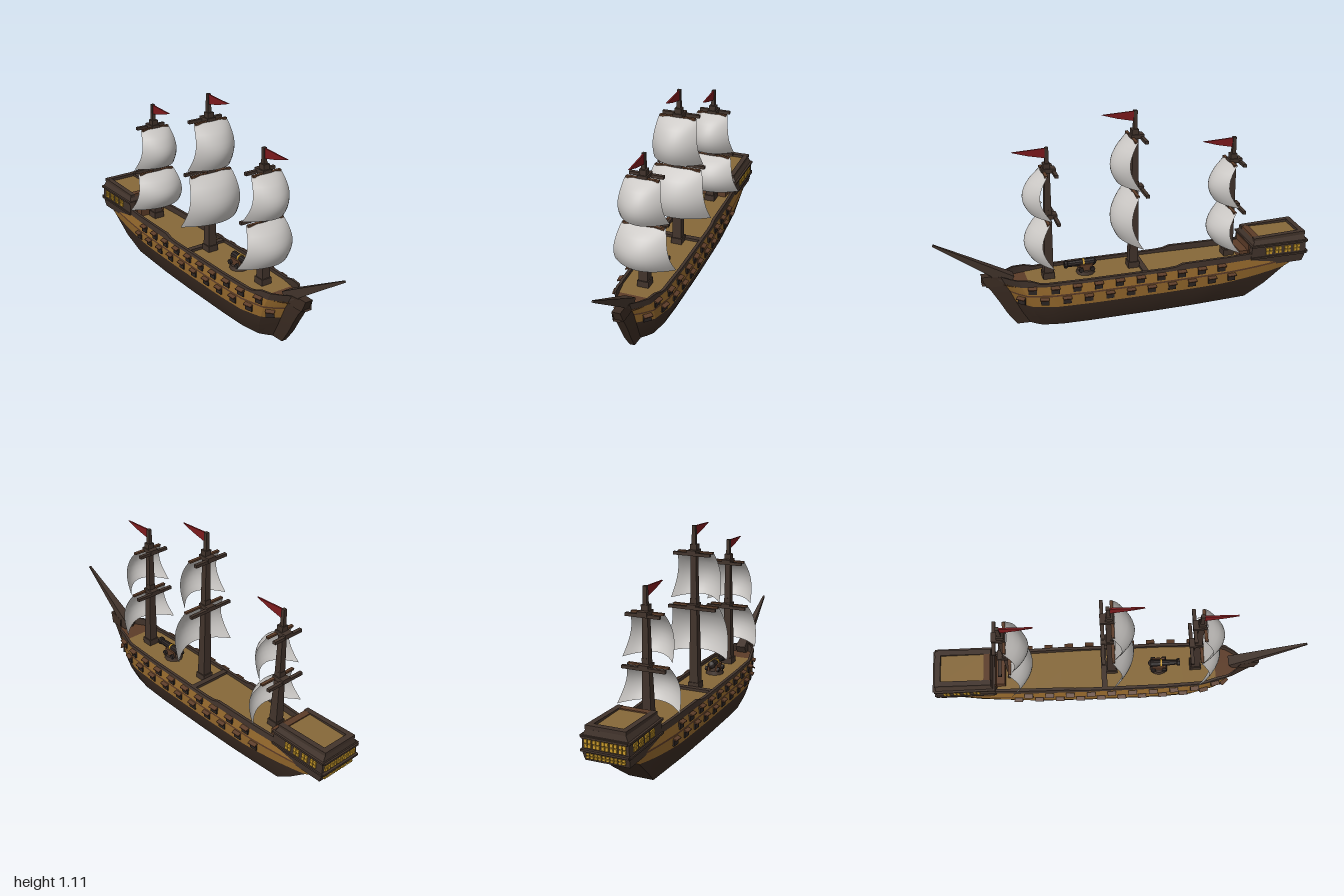
import * as THREE from 'three';
import { toCreasedNormals } from 'three/addons/utils/BufferGeometryUtils.js';

const mat = (name, color, side = THREE.FrontSide) => {
  const m = new THREE.MeshStandardMaterial({ color, side });
  m.name = name;
  return m;
};
const { lerp } = THREE.MathUtils;

// Piecewise linear lookup through [x, y] pairs
function table(points, x) {
  for (let i = 1; i < points.length; i++) {
    const [a, p] = points[i - 1], [b, q] = points[i];
    if (x <= b) return lerp(p, q, Math.max(0, (x - a) / (b - a)));
  }
  return points[points.length - 1][1];
}
const PLAN = [[0, .76], [.1, .84], [.25, .95], [.45, 1], [.7, 1], [.82, .94], [.9, .72], [.925, .46], [.945, .2], [1, .16]];
const RAIL = [[-.6, .28], [-.27, .28], [-.23, .264], [.48, .264], [.54, .285], [.77, .295]];
const plan = u => table(PLAN, u);
// Hull levels: height, half width, stern x, bow x, sheer
const LEVELS = [
  [0, .085, -.66, .60, 0], [.07, .12, -.76, .65, .01], [.13, .135, -.87, .69, .045],
  [.19, .137, -.95, .72, .03], [.2, .137, -.955, .725, .03], [.248, .13, -.97, .75, 0],
];
const DECK = .246;

function hullSection(u) {
  const sheer = u < .3 ? (1 - u / .3) ** 2 : u > .8 ? .5 * ((u - .8) / .2) ** 2 : 0;
  const pts = LEVELS.map(([y, w, a, b, s]) => [lerp(a, b, u), y + s * sheer, w * plan(u)]);
  const x = lerp(-.97, .77, u), w = .127 * plan(u), top = table(RAIL, x);
  pts.unshift([pts[0][0], 0, 0]);
  pts.push([x, top, w], [x, top, w * .87], [x, DECK, w * .87], [x, DECK, 0]);
  return pts;
}

export function createModel() {
  const ship = new THREE.Group();
  ship.name = 'sailingShip';
  const hullDark = mat('dark hull wood', 0x3a2b22);
  const trim = mat('mast and trim wood', 0x41332b);
  const ochre = mat('ochre hull band', 0x94682c);
  const planks = mat('deck planks', 0x866839);
  const brown = mat('red brown wood', 0x5c3c28);
  const black = mat('gun metal', 0x2b2422);
  const gold = mat('gold', 0xc8992a);
  const canvas = mat('sail canvas', 0xc9c6c3, THREE.DoubleSide);
  const red = mat('red flag cloth', 0x7e1a1d);

  const add = (name, geo, m, x = 0, y = 0, z = 0, parent = ship) => {
    const mesh = new THREE.Mesh(geo, m);
    mesh.name = name;
    mesh.position.set(x, y, z);
    parent.add(mesh);
    return mesh;
  };
  const box = (name, m, w, h, d, x, y, z, parent) =>
    add(name, new THREE.BoxGeometry(w, h, d), m, x, y, z, parent);
  // Square tapered beam between two points
  const beam = (name, m, a, b, ra, rb, parent) => {
    const p = new THREE.Vector3(...a), q = new THREE.Vector3(...b), d = q.clone().sub(p);
    const geo = new THREE.CylinderGeometry(rb * Math.SQRT2, ra * Math.SQRT2, d.length(), 4).rotateY(Math.PI / 4);
    const mesh = add(name, toCreasedNormals(geo, .5), m, 0, 0, 0, parent);
    mesh.position.copy(p).add(q).multiplyScalar(.5);
    mesh.quaternion.setFromUnitVectors(new THREE.Vector3(0, 1, 0), d.normalize());
    return mesh;
  };
  // Box whose upper rectangle differs from the lower: [x0, x1, half width, y]
  const frustum = (name, m, lo, hi) => {
    const geo = new THREE.BoxGeometry(1, 1, 1), p = geo.attributes.position;
    for (let i = 0; i < p.count; i++) {
      const r = p.getY(i) > 0 ? hi : lo;
      p.setXYZ(i, p.getX(i) > 0 ? r[1] : r[0], r[3], Math.sign(p.getZ(i)) * r[2]);
    }
    geo.computeVertexNormals();
    return add(name, geo, m);
  };

  // Hull skin, bulwarks and deck, lofted and collected by colour
  const bins = new Map();
  const quad = (m, a, b, c, d) => {
    if (!bins.has(m)) bins.set(m, []);
    for (const side of [1, -1])
      for (const p of side > 0 ? [a, b, c, a, c, d] : [a, c, b, a, d, c])
        bins.get(m).push(p[0], p[1], p[2] * side);
  };
  const strips = [hullDark, hullDark, hullDark, ochre, brown, ochre, trim, trim, trim, planks];
  const us = [0, .05, .1, .15, .2, .25, .3, .38, .4, .42, .45, .55, .65, .7, .76, .82, .835, .865, .9, .925, .945, 1];
  const sections = us.map(hullSection);
  for (let s = 0; s + 1 < us.length; s++) {
    const A = sections[s], B = sections[s + 1];
    strips.forEach((m, i) => {
      if (us[s] >= .94) m = hullDark;
      else if (i === 9 && us[s] >= .865) m = brown;
      quad(m, A[i], B[i], B[i + 1], A[i + 1]);
    });
  }
  const first = sections[0], last = sections[us.length - 1];
  const mid = p => [p[0], p[1], 0];
  for (let i = 1; i < 7; i++) {
    quad(strips[i], first[i], first[i + 1], mid(first[i + 1]), mid(first[i]));
    quad(hullDark, last[i + 1], last[i], mid(last[i]), mid(last[i + 1]));
  }
  for (const [m, list] of bins) {
    const geo = new THREE.BufferGeometry();
    geo.setAttribute('position', new THREE.Float32BufferAttribute(list, 3));
    add('hull ' + m.name, toCreasedNormals(geo, .45), m);
  }

  // Gun ports in two staggered rows, with raised lids
  const ports = (count, x0, y, level) => {
    const [, w, a, b] = LEVELS[level];
    const z = x => w * plan((x - a) / (b - a));
    for (let i = 0; i < count; i++) for (const side of [1, -1]) {
      const x = x0 + i * .113, g = new THREE.Group();
      g.name = 'gunPort';
      g.position.set(x, y, side * z(x));
      g.rotation.y = Math.atan2(z(x - .02) - z(x + .02), .04) * side + (side < 0 ? Math.PI : 0);
      ship.add(g);
      box('portOpening', black, .042, .032, .01, 0, 0, 0, g);
      box('portLid', brown, .046, .006, .024, 0, .019, .008, g).rotation.x = .3;
    }
  };
  ports(11, -.55, .163, 3);
  ports(10, -.49, .226, 4);

  // Stern cabin
  frustum('cabinBase', trim, [-.97, -.65, .112, .2], [-.985, -.665, .118, .25]);
  frustum('cabinWall', trim, [-.985, -.665, .118, .25], [-.985, -.672, .116, .32]);
  frustum('cabinRoof', trim, [-.985, -.672, .116, .32], [-.98, -.69, .1, .352]);
  box('cabinDeck', planks, .24, .004, .15, -.835, .353, 0);
  for (const s of [1, -1]) box('cabinRail', trim, .3, .018, .028, -.833, .357, s * .088).rotation.z = -.035;
  box('cabinSternRail', trim, .03, .018, .2, -.967, .362, 0);
  box('cabinForeRail', brown, .035, .014, .16, -.705, .354, 0);
  box('cabinFront', brown, .008, .07, .17, -.665, .285, 0);
  box('cabinStep', brown, .05, .04, .15, -.64, .265, 0);
  for (const y of [.252, .32]) box('cabinLedge', trim, .325, .01, .25, -.828, y, 0);

  // Windows of four panes on the cabin sides and stern
  const windowAt = (x, y, z, turn, size) => {
    const g = new THREE.Group();
    g.name = 'cabinWindow';
    g.position.set(x, y, z);
    g.rotation.y = turn;
    ship.add(g);
    for (const i of [-1, 1]) for (const j of [-1, 1])
      box('pane', gold, .015, size, .009, i * .0095, j * (size + .004) / 2, 0, g);
  };
  for (const s of [1, -1])
    for (let i = 0; i < 4; i++) windowAt(-.93 + i * .054, .287, s * .119, 0, .016);
  for (let i = -2; i <= 2; i++) {
    windowAt(-.988, .288, i * .043, Math.PI / 2, .018);
    windowAt(-.982, .228, i * .04, Math.PI / 2, .01);
  }
  box('sternLedge', trim, .018, .01, .24, -.99, .256, 0);
  box('sternLedge', trim, .018, .01, .23, -.99, .318, 0);

  // Bowsprit
  beam('bowsprit', trim, [.62, .262, 0], [.997, .5, 0], .028, .005);
  frustum('bowspritBed', hullDark, [.63, .75, .028, .24], [.66, .772, .022, .298]);

  // Sail, bellied forward between a narrow head and a wide foot
  const sail = (m, top, bottom, headHalf, footHalf) => {
    const geo = new THREE.PlaneGeometry(2, 1, 12, 10), p = geo.attributes.position;
    for (let i = 0; i < p.count; i++) {
      const u = p.getX(i), v = .5 - p.getY(i);
      const belly = .105 * Math.sin(Math.PI * (.08 + .68 * v)) + .02 * Math.min(1, v * 6);
      const edge = .01 + .05 * Math.sin(Math.PI * v) - .01 * v;
      p.setXYZ(i, m + lerp(belly, edge, u * u), lerp(top, bottom, v) + .012 * v * (1 - u * u),
        -u * lerp(headHalf, footHalf, v ** .8));
    }
    geo.computeVertexNormals();
    add('sail', geo, canvas);
  };

  // Masts: x, top, then sails as [head y, foot y, head half width, foot half width]
  const masts = [
    [-.04, 1.105, [.968, .72, .1, .135], [.69, .42, .13, .18]],
    [.417, .955, [.833, .608, .088, .13], [.585, .36, .113, .162]],
    [-.578, .915, [.785, .56, .088, .13], [.53, .32, .113, .165]],
  ];
  for (const [x, top, upper, lower] of masts) {
    box('mastStep', trim, .06, .035, .06, x + .008, .262, 0);
    beam('lowerMast', trim, [x + .008, .25, 0], [x, lower[0], 0], .025, .018);
    beam('topMast', trim, [x, lower[0], 0], [x - .004, upper[0], 0], .018, .014);
    beam('mastPole', trim, [x - .004, upper[0], 0], [x - .006, top, 0], .011, .009);
    for (const s of [upper, lower]) {
      sail(x, ...s);
      box('crosstree', trim, .07, .022, .05, x - .012, s[0] + .004, 0);
      box('mastCap', trim, .036, .04, .036, x - .002, s[0] + .022, 0);
      box('yard', trim, .018, .016, s[2] * 2, x - .036, s[0] - .004, 0);
      box('sailSpar', brown, .016, .01, s[2] * 1.9, x + .014, s[0] - .002, 0);
    }
    const pennant = new THREE.Shape([[0, 0], [0, -.052], [.09, -.032], [.168, -.008]].map(q => new THREE.Vector2(...q)));
    add('flag', new THREE.ExtrudeGeometry(pennant, { depth: .008, bevelEnabled: false }), red, x, top - .003, -.004);
  }
  box('deckBreak', trim, .03, .016, .22, -.075, .252, 0);

  // Deck cannon on a round turntable
  const cannon = new THREE.Group();
  cannon.name = 'deckCannon';
  cannon.position.set(.225, DECK, 0);
  ship.add(cannon);
  add('turntable', new THREE.CylinderGeometry(.045, .05, .02, 10), trim, 0, .01, 0, cannon);
  for (const s of [1, -1]) {
    box('carriageCheek', brown, .07, .035, .012, 0, .037, s * .023, cannon);
    for (const x of [-.03, .03])
      add('carriageWheel', new THREE.CylinderGeometry(.013, .013, .012, 8).rotateX(Math.PI / 2), black, x, .03, s * .035, cannon);
  }
  const barrel = [[0, -.06], [.012, -.055], [.021, -.045], [.017, .06], [.015, .095], [.021, .1], [.021, .113], [.01, .113], [.01, .09], [0, .09]];
  const barrelGeo = new THREE.LatheGeometry(barrel.map(q => new THREE.Vector2(...q)), 10).rotateZ(-Math.PI / 2);
  add('barrel', toCreasedNormals(barrelGeo, .6), black, 0, .056, 0, cannon);
  add('barrelRing', new THREE.CylinderGeometry(.022, .022, .009, 10).rotateZ(Math.PI / 2), gold, .012, .056, 0, cannon);

  return ship;
}
